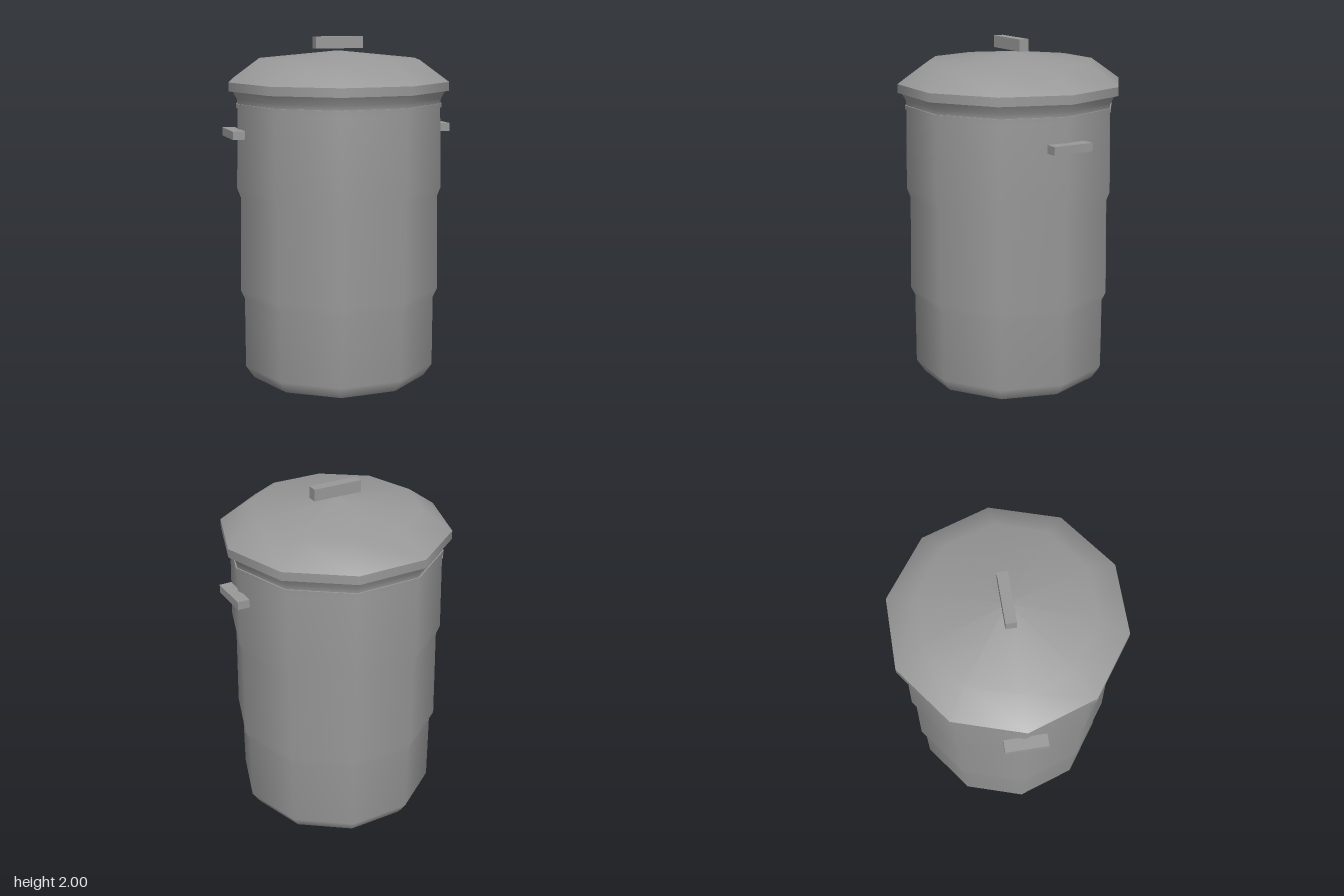
import * as THREE from 'three';

const SIDES = 10;

export function createModel() {
  const bin = new THREE.Group();
  bin.name = 'trashCan';
  const grey = new THREE.MeshStandardMaterial({ color: 0x999999 });
  grey.name = 'grey metal';

  const add = (name, geometry, x = 0, y = 0, z = 0) => {
    const mesh = new THREE.Mesh(geometry, grey);
    mesh.name = name;
    mesh.position.set(x, y, z);
    bin.add(mesh);
    return mesh;
  };
  // Ten-sided turned part, smooth within itself, with a corner on the x axis
  const turn = (name, profile) => add(name, new THREE.LatheGeometry(
    profile.map(([r, y]) => new THREE.Vector2(r, y)), SIDES, Math.PI / 2));

  // Body: chamfered foot and two stepped bands
  turn('body', [
    [0.53, 0], [0.58, 0.075], [0.58, 0.49], [0.604, 0.54],
    [0.594, 1.09], [0.615, 1.145], [0.605, 1.605],
  ]);
  add('base', new THREE.CircleGeometry(0.53, SIDES).rotateX(Math.PI / 2));

  // Bead and flared neck
  turn('beadUnderside', [[0.6, 1.605], [0.613, 1.605]]);
  turn('bead', [[0.613, 1.605], [0.613, 1.628]]);
  turn('beadTop', [[0.613, 1.628], [0.605, 1.628]]);
  turn('neck', [[0.605, 1.628], [0.608, 1.655], [0.632, 1.70]]);

  // Lid: flat underside, upright rim and shallow dome
  turn('lidUnderside', [[0, 1.70], [0.654, 1.70]]);
  turn('lidRim', [[0.654, 1.70], [0.654, 1.75]]);
  turn('lidDome', [[0.654, 1.75], [0.485, 1.87], [0, 1.92]]);

  // Grips
  add('lidHandle', new THREE.BoxGeometry(0.29, 0.068, 0.06), 0, 1.966, -0.003);
  for (const side of [-1, 1]) {
    add(side > 0 ? 'leftHandle' : 'rightHandle',
      new THREE.BoxGeometry(0.07, 0.047, 0.24), side * 0.63, 1.462, 0);
  }
  return bin;
}
